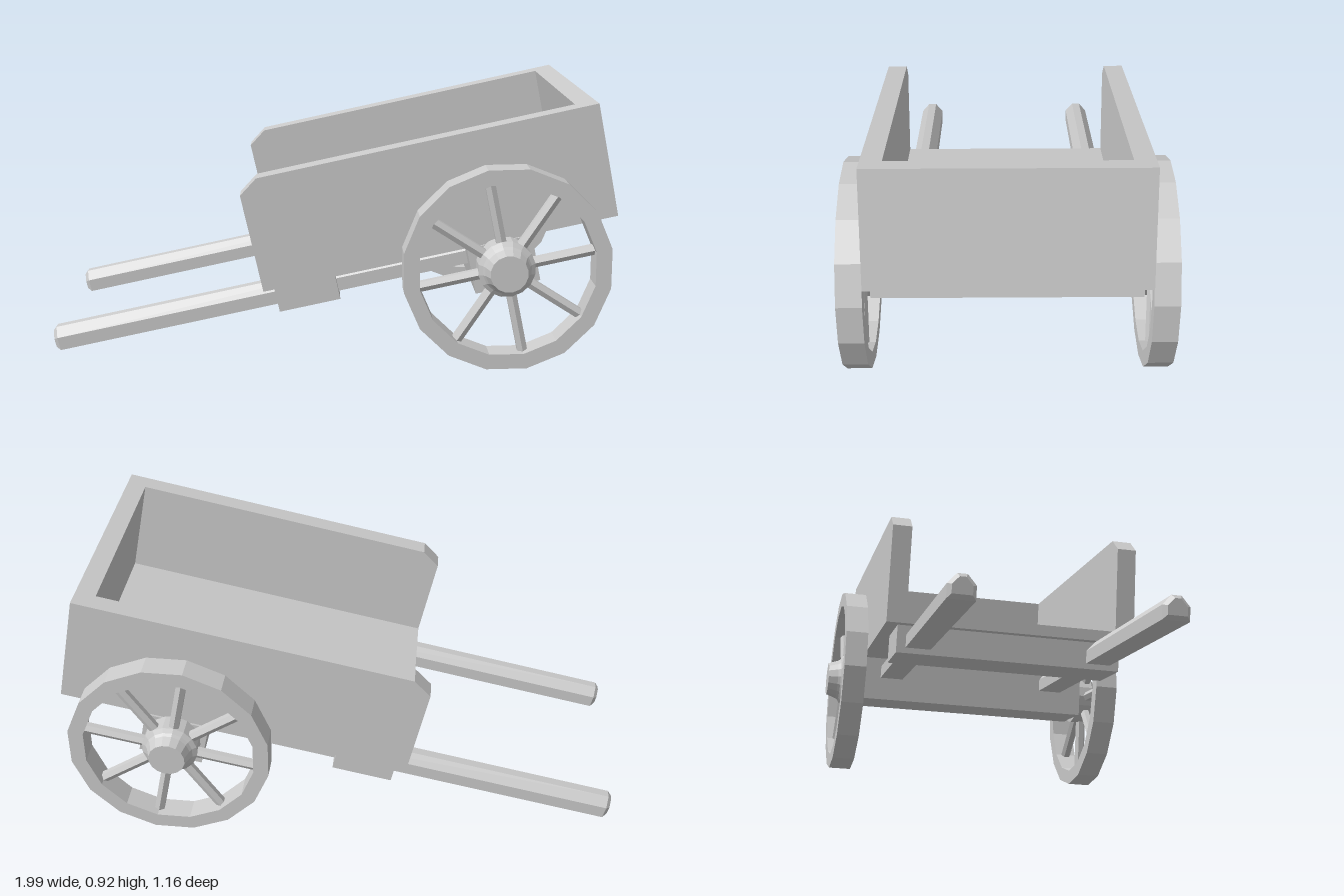
import * as THREE from 'three';

const mat = new THREE.MeshStandardMaterial({ color: 0xcccccc, flatShading: true });

function add(parent, name, geometry) {
  const mesh = new THREE.Mesh(geometry, mat);
  mesh.name = name;
  parent.add(mesh);
  return mesh;
}

// Box given by its limits along the cart (x), upward (y) and half width (z)
function beam(parent, name, x0, x1, y0, y1, halfZ) {
  const mesh = add(parent, name, new THREE.BoxGeometry(x1 - x0, y1 - y0, halfZ * 2));
  mesh.position.set((x0 + x1) / 2, (y0 + y1) / 2, 0);
}

function polygon(points) {
  return new THREE.Shape(points.map(([x, y]) => new THREE.Vector2(x, y)));
}

function ring(radius, sides) {
  return Array.from({ length: sides }, (_, i) => {
    const a = (i / sides) * Math.PI * 2;
    return [radius * Math.cos(a), radius * Math.sin(a)];
  });
}

// Wheel centred on its axle, outer face toward +z
function makeWheel() {
  const wheel = new THREE.Group();

  const rimShape = polygon(ring(0.363, 16));
  rimShape.holes.push(polygon(ring(0.308, 16)));
  const rim = new THREE.ExtrudeGeometry(rimShape, { depth: 0.085, bevelEnabled: false });
  add(wheel, 'rim', rim.translate(0, 0, -0.0425));

  // Stepped hub with a tapered cap
  const profile = [[0, -0.045], [0.1, -0.045], [0.1, 0.02], [0.085, 0.03], [0.078, 0.04], [0.065, 0.077], [0, 0.077]];
  const hub = new THREE.LatheGeometry(profile.map(([r, y]) => new THREE.Vector2(r, y)), 16);
  add(wheel, 'hub', hub.rotateX(Math.PI / 2));

  for (let i = 0; i < 8; i++) {
    const spoke = new THREE.CylinderGeometry(0.02, 0.02, 0.24, 6, 1, true);
    spoke.translate(0, 0.2, 0).rotateZ((i * Math.PI) / 4);
    add(wheel, 'spoke', spoke);
  }
  return wheel;
}

export function createModel() {
  const model = new THREE.Group();
  model.name = 'handcart';

  // Everything is built level, then tipped onto its handles
  const cart = new THREE.Group();
  cart.name = 'cart';
  cart.position.set(-0.23, 0.26, 0);
  cart.rotation.z = 0.2165;
  model.add(cart);

  // Open-fronted tray
  const length = 1.26, height = 0.403, half = 0.455, wall = 0.07;
  beam(cart, 'floor', 0, length - wall, 0, 0.04, half - wall);
  beam(cart, 'endWall', length - wall, length, 0, height, half - wall);
  const side = polygon([[0, 0], [length, 0], [length, height], [0.068, height], [0, 0.355]]);

  // Handle section: flat underneath, chamfered on top
  const section = polygon([[-0.045, -0.08], [0.045, -0.08], [0.045, -0.033], [0.016, 0], [-0.016, 0], [-0.045, -0.033]]);

  for (const s of [1, -1]) {
    const sideGeo = new THREE.ExtrudeGeometry(side, { depth: wall, bevelEnabled: false });
    add(cart, s > 0 ? 'frontSideWall' : 'backSideWall', sideGeo).position.z = s > 0 ? half - wall : -half;

    const handleGeo = new THREE.ExtrudeGeometry(section, {
      depth: 1.5, bevelThickness: 0.015, bevelSize: 0.013, bevelOffset: -0.013, bevelSegments: 1,
    });
    const handle = add(cart, 'handle', handleGeo.rotateY(Math.PI / 2));
    handle.position.set(-0.77, 0, s * 0.332);

    const wheel = makeWheel();
    wheel.name = s > 0 ? 'frontWheel' : 'backWheel';
    wheel.position.set(0.842, -0.083, s * 0.505);
    if (s < 0) wheel.rotation.y = Math.PI;
    cart.add(wheel);
  }

  // Cross members under the tray
  beam(cart, 'axleBeam', 0.725, 0.955, -0.168, 0, 0.463);
  beam(cart, 'crossBeam', 0.035, 0.255, -0.1, 0, 0.41);

  return model;
}
